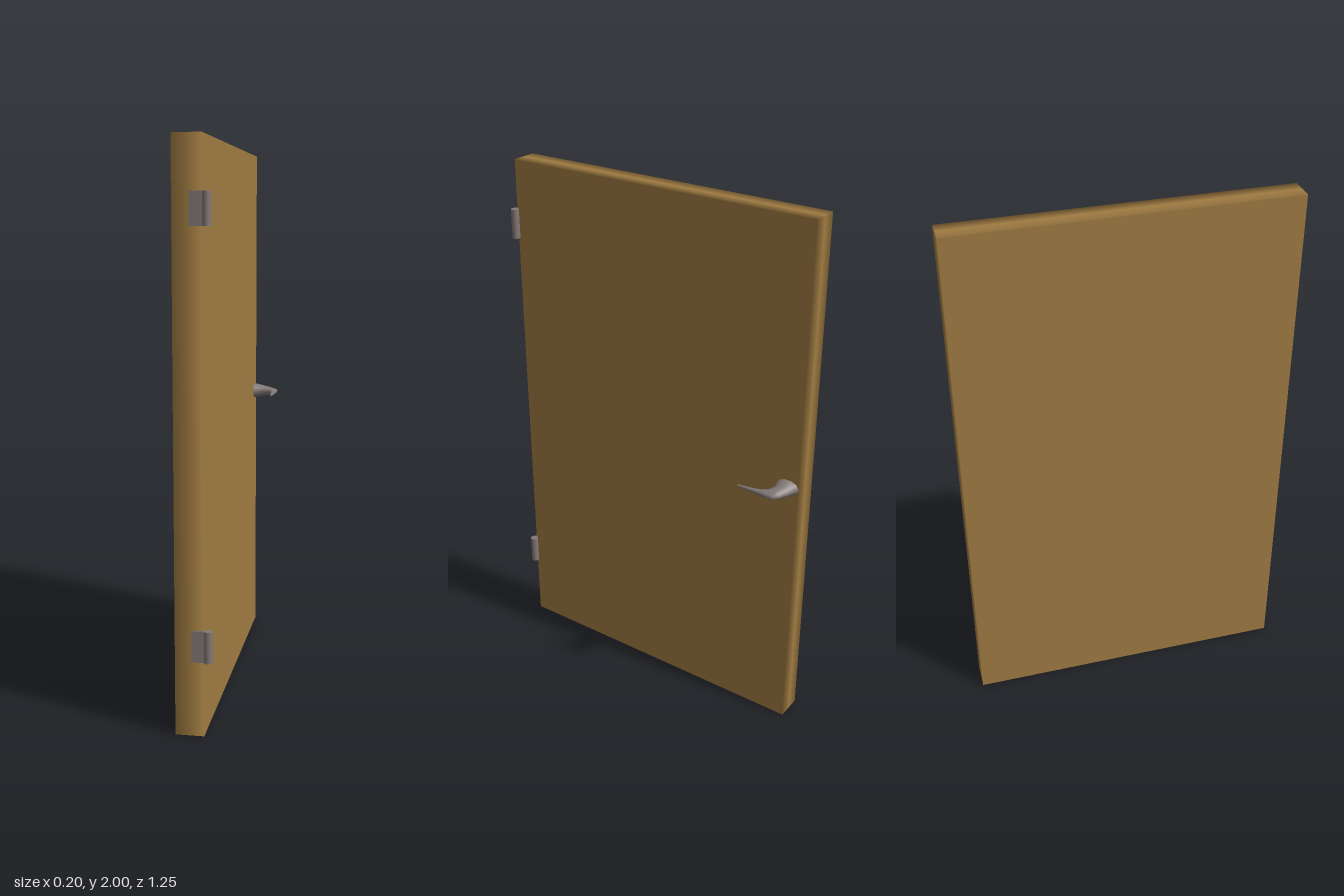
import * as THREE from 'three';

const wood = new THREE.MeshStandardMaterial({ color: 0xa17c42 });
wood.name = 'wood';
const metal = new THREE.MeshStandardMaterial({ color: 0x827977 });
metal.name = 'metal';

function addMesh(parent, name, geometry, material, x = 0, y = 0, z = 0) {
  const mesh = new THREE.Mesh(geometry, material);
  mesh.name = name;
  mesh.position.set(x, y, z);
  parent.add(mesh);
  return mesh;
}

// Door panel: the narrow edges blend softly from the broad faces to a centre line
function panelGeometry() {
  const geo = new THREE.BoxGeometry(0.1, 2, 1.23, 2, 1, 1);
  const pos = geo.attributes.position;
  const normal = geo.attributes.normal;
  for (let i = 0; i < pos.count; i++) {
    const x = pos.getX(i);
    if (Math.abs(x) < 0.01) continue;
    const n = new THREE.Vector3().fromBufferAttribute(normal, i);
    if (Math.abs(n.x) > 0.5) continue;
    n.multiplyScalar(0.15).setX(Math.sign(x)).normalize();
    normal.setXYZ(i, n.x, n.y, n.z);
  }
  return geo;
}

// Lever handle: rounded cross-sections lofted from the door, round the elbow, to the tip
function handleGeometry() {
  // outer x, outer z, inner x, inner z, half height
  const sections = [
    [0, -0.625, 0, -0.535, 0.03],
    [0.04, -0.608, 0.035, -0.545, 0.022],
    [0.075, -0.594, 0.062, -0.534, 0.016],
    [0.099, -0.579, 0.074, -0.51, 0.012],
    [0.097, -0.52, 0.08, -0.485, 0.009],
    [0.093, -0.432, 0.085, -0.43, 0.004],
  ];
  const sides = 10;
  const positions = [];
  const indices = [];
  for (const [ox, oz, ix, iz, h] of sections) {
    for (let j = 0; j < sides; j++) {
      const a = (j / sides) * Math.PI * 2;
      const t = (1 + Math.cos(a)) / 2;
      positions.push(ix + (ox - ix) * t, 1.025 + h * Math.sin(a), iz + (oz - iz) * t);
    }
  }
  for (let i = 0; i < sections.length - 1; i++) {
    for (let j = 0; j < sides; j++) {
      const k = (j + 1) % sides;
      const a = i * sides + j, b = i * sides + k;
      indices.push(a, b, a + sides, b, b + sides, a + sides);
    }
  }
  // Close the tip
  const last = (sections.length - 1) * sides;
  for (let j = 1; j < sides - 1; j++) indices.push(last, last + j, last + j + 1);
  const geo = new THREE.BufferGeometry();
  geo.setAttribute('position', new THREE.Float32BufferAttribute(positions, 3));
  geo.setIndex(indices);
  geo.computeVertexNormals();
  return geo;
}

// Hinge: thin leaf on the door edge plus a round knuckle beside the face
function makeHinge(y) {
  const hinge = new THREE.Group();
  hinge.name = 'hinge';
  addMesh(hinge, 'hingeLeaf', new THREE.BoxGeometry(0.045, 0.11, 0.004), metal, -0.0205, 0, 0.607);
  addMesh(hinge, 'hingeKnuckle', new THREE.CylinderGeometry(0.015, 0.015, 0.11, 12), metal, 0.015, 0, 0.605);
  hinge.position.y = y;
  return hinge;
}

export function createModel() {
  const door = new THREE.Group();
  door.name = 'door';
  addMesh(door, 'doorPanel', panelGeometry(), wood, -0.05, 1, -0.01);
  addMesh(door, 'handle', handleGeometry(), metal);
  for (const y of [0.318, 1.765]) door.add(makeHinge(y));
  return door;
}
